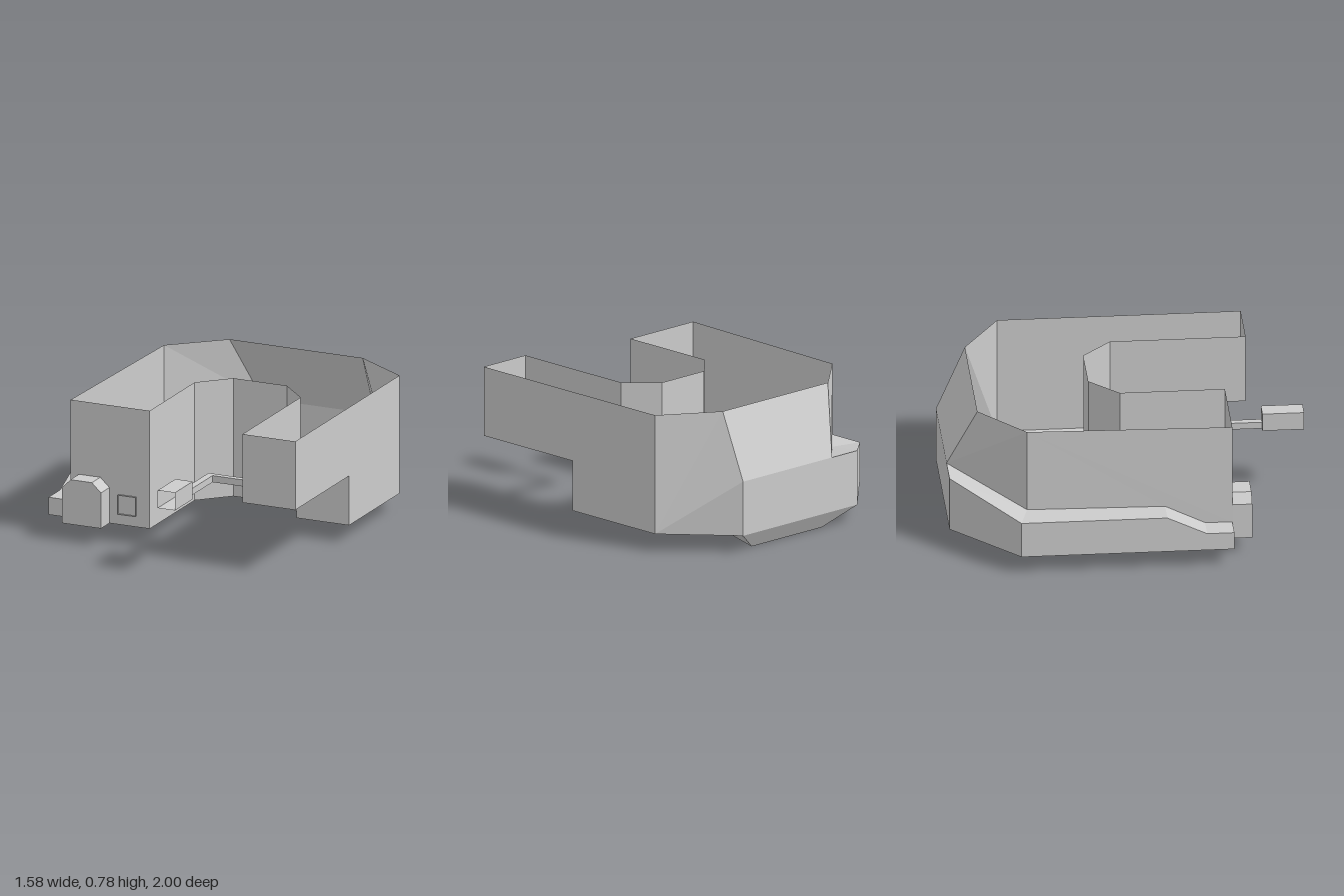
import * as THREE from 'three';

const material = new THREE.MeshStandardMaterial({ color: 0xcccccc, flatShading: true, side: THREE.DoubleSide });
const FLOOR = 0.1, STEP = 0.385, TOP = 0.78;

function addMesh(group, name, geometry) {
  const mesh = new THREE.Mesh(geometry, material);
  mesh.name = name;
  group.add(mesh);
  return mesh;
}

// Flat panels: each polygon is a list of [x, y, z] corners, split as a fan
function panels(polygons) {
  const pos = [];
  for (const p of polygons)
    for (let i = 1; i < p.length - 1; i++) pos.push(...p[0], ...p[i], ...p[i + 1]);
  const geo = new THREE.BufferGeometry();
  geo.setAttribute('position', new THREE.Float32BufferAttribute(pos, 3));
  geo.computeVertexNormals();
  return geo;
}

// Upright wall between two [x, z] points
const wall = ([ax, az], [bx, bz], y0, y1) => [[ax, y0, az], [bx, y0, bz], [bx, y1, bz], [ax, y1, az]];

// Box from its limits; the front side can be left open
function box(group, name, [x0, x1], [y0, y1], [z0, z1], openFront = false) {
  const geo = new THREE.BoxGeometry(x1 - x0, y1 - y0, z1 - z0);
  if (openFront) {
    const index = Array.from(geo.index.array);
    index.splice(24, 6);
    geo.setIndex(index);
  }
  addMesh(group, name, geo).position.set((x0 + x1) / 2, (y0 + y1) / 2, (z0 + z1) / 2);
}

export function createModel() {
  const model = new THREE.Group();
  model.name = 'openTrayBody';

  // Front, inner U and right side walls; the right leg is raised
  const path = [[-0.655, 0.54], [-0.175, 0.54], [-0.175, -0.04], [-0.015, -0.2], [0.31, -0.2], [0.47, -0.04],
    [0.47, 0.015], [0.47, 0.71], [0.79, 0.71], [0.79, 0.015], [0.79, -0.635]];
  const walls = [];
  for (let i = 0; i < path.length - 1; i++)
    walls.push(wall(path[i], path[i + 1], i >= 6 && i <= 8 ? STEP : FLOOR, TOP));
  addMesh(model, 'sideWalls', panels(walls));

  // Underside and rear step of the raised right leg
  addMesh(model, 'raisedLegUnderside', panels([
    [[0.47, STEP, 0.015], [0.79, STEP, 0.015], [0.79, STEP, 0.71], [0.47, STEP, 0.71]],
    wall([0.47, 0.015], [0.79, 0.015], FLOOR, STEP),
  ]));

  // Floor, notched at the back for the keel
  const outline = [[-0.79, 0.54], [-0.175, 0.54], [-0.175, -0.04], [-0.015, -0.2], [0.31, -0.2], [0.47, -0.04],
    [0.47, 0.015], [0.79, 0.015], [0.79, -0.635], [0.47, -1], [0.39, -0.6], [-0.21, -0.6], [-0.41, -1], [-0.79, -0.635]];
  const floor = new THREE.ShapeGeometry(new THREE.Shape(outline.map(([x, z]) => new THREE.Vector2(x, z))));
  floor.rotateX(Math.PI / 2).translate(0, FLOOR, 0);
  addMesh(model, 'floor', floor);

  // Keel hanging below the back of the floor
  const n1 = [-0.21, FLOOR, -0.6], n2 = [0.39, FLOOR, -0.6];
  const l1 = [-0.2, 0, -0.935], l2 = [0.34, 0, -0.935];
  const k1 = [-0.41, FLOOR, -1], k2 = [0.47, FLOOR, -1];
  addMesh(model, 'keel', panels([[n1, l1, l2, n2], [n2, l2, k2], [n1, k1, l1], [k1, k2, l2, l1]]));

  // Sloping back with its faceted right corner
  const a = [0.79, TOP, -0.635], b = [0.79, FLOOR, -0.635], c = [0.47, TOP, -0.84], d = [0.47, 0.41, -1];
  const c2 = [-0.34, TOP, -0.84], d2 = [-0.215, 0.41, -1], d3 = [-0.41, 0.41, -1];
  addMesh(model, 'back', panels([[b, c, a], [b, d, c], [b, k2, d], [d, d2, c2, c], [k2, k1, d3, d2, d]]));

  // Left rear corner: low outer wall, rising ledge and tall inner wall
  const ledgeOut = [-0.79, 0.305, -0.635], ledgeIn = [-0.62, 0.305, -0.59], inTop = [-0.62, TOP, -0.59];
  addMesh(model, 'leftRearCorner', panels([
    [k1, [-0.79, FLOOR, -0.635], ledgeOut, d3],
    [d3, ledgeOut, ledgeIn, d2],
    [d2, ledgeIn, inTop, c2],
  ]));

  // Left ledge stepping down toward the front
  const outer = [ledgeOut, [-0.79, 0.305, 0.17], [-0.79, 0.2, 0.39], [-0.79, 0.2, 0.54]];
  const inner = [ledgeIn, [-0.643, 0.305, 0.17], [-0.65, 0.2, 0.39], [-0.655, 0.2, 0.54]];
  const ledge = [];
  for (let i = 0; i < 3; i++) ledge.push([outer[i], outer[i + 1], inner[i + 1], inner[i]]);
  ledge.push([[-0.79, FLOOR, -0.635], [-0.79, FLOOR, 0.54], ...[...outer].reverse()]);
  ledge.push([inTop, ...inner, [-0.655, TOP, 0.54]]);
  ledge.push(wall([-0.79, 0.54], [-0.655, 0.54], FLOOR, 0.2));
  addMesh(model, 'leftLedge', panels(ledge));

  // Chamfered block on the left leg's front
  const block = new THREE.Shape([[-0.655, FLOOR], [-0.42, FLOOR], [-0.42, 0.305], [-0.475, 0.357], [-0.605, 0.357], [-0.655, 0.305]]
    .map(([x, y]) => new THREE.Vector2(x, y)));
  addMesh(model, 'frontBlock', new THREE.ExtrudeGeometry(block, { depth: 0.11, bevelEnabled: false })).position.z = 0.54;

  // Small square frame beside it
  box(model, 'frontFrame', [-0.365, -0.255], [0.163, 0.273], [0.54, 0.555], true);

  // Bent arm carrying an open-fronted box
  box(model, 'armCrossbar', [0.12, 0.47], [STEP, 0.423], [0.405, 0.44]);
  box(model, 'arm', [0.12, 0.16], [STEP, 0.423], [0.44, 0.77]);
  box(model, 'armEndBox', [0.09, 0.195], [STEP, 0.487], [0.77, 1], true);

  return model;
}
